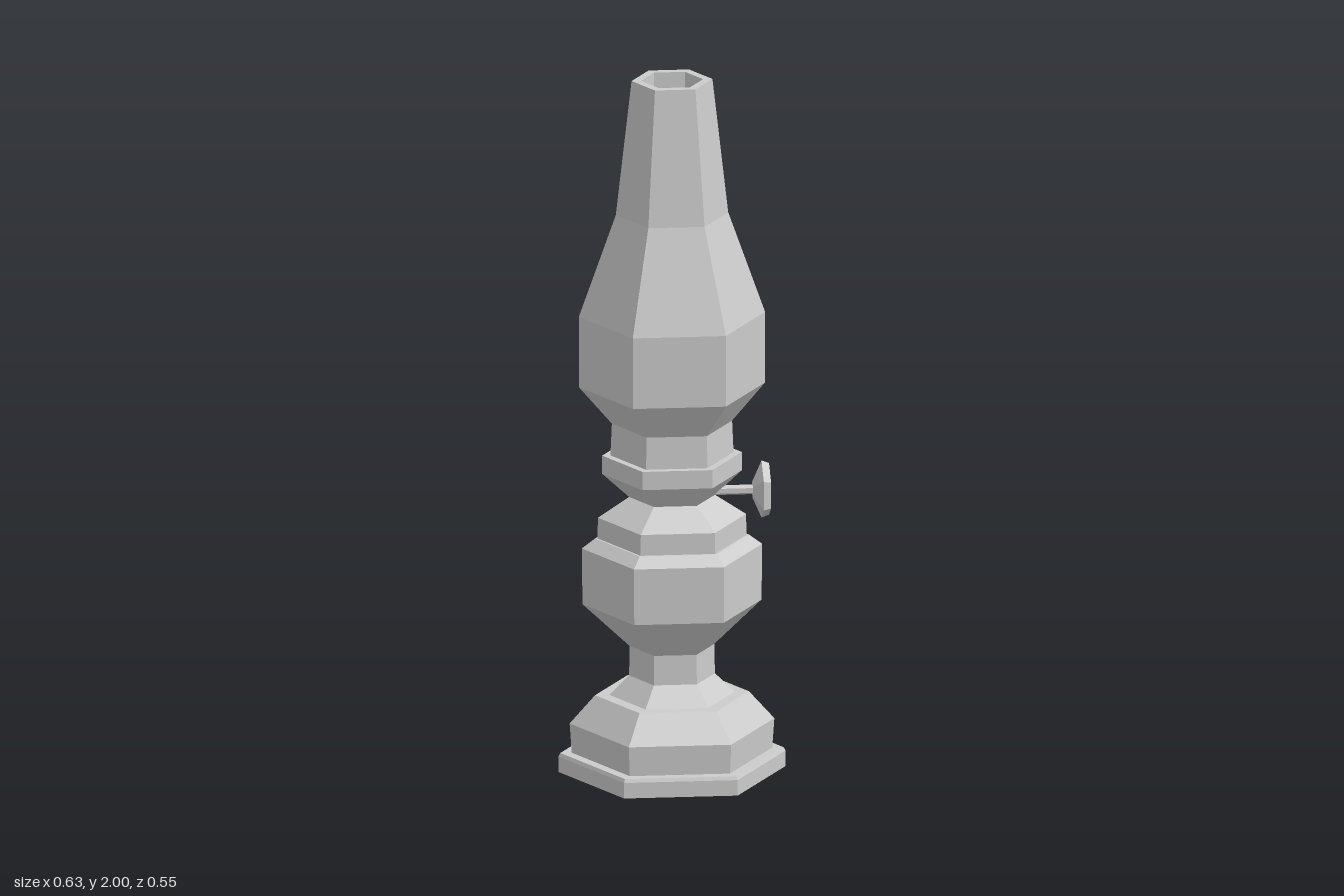
import * as THREE from 'three';

const material = new THREE.MeshStandardMaterial({ color: 0xcccccc, flatShading: true });

// Six-sided turned part from [radius, height] pairs, with corners on the x axis
function hexTurned(name, profile) {
  const points = profile.map(([r, y]) => new THREE.Vector2(r, y));
  const mesh = new THREE.Mesh(new THREE.LatheGeometry(points, 6, Math.PI / 2), material);
  mesh.name = name;
  return mesh;
}

export function createModel() {
  const lamp = new THREE.Group();
  lamp.name = 'oilLamp';

  // Stepped foot rising to a narrow neck
  lamp.add(hexTurned('base', [
    [0, 0], [0.317, 0], [0.317, 0.045], [0.312, 0.055], [0.28, 0.055],
    [0.286, 0.14], [0.215, 0.22], [0.175, 0.22], [0.12, 0.275], [0.118, 0.36],
  ]));

  // Fuel reservoir
  lamp.add(hexTurned('reservoir', [
    [0.118, 0.36], [0.25, 0.485], [0.252, 0.647], [0.215, 0.675], [0.208, 0.675],
  ]));

  // Burner collar with a pinched waist
  lamp.add(hexTurned('burner', [
    [0.208, 0.675], [0.207, 0.735], [0.12, 0.793], [0.195, 0.862],
    [0.195, 0.915], [0.172, 0.915],
  ]));

  // Chimney with a shallow recess in its top
  lamp.add(hexTurned('chimney', [
    [0.172, 0.915], [0.168, 1.007], [0.26, 1.115], [0.26, 1.32], [0.157, 1.612],
    [0.113, 2], [0.087, 2], [0.086, 1.95], [0, 1.95],
  ]));

  // Wick adjuster: thin stem and flared knob, turned to point along +x
  const wickAdjuster = new THREE.Group();
  wickAdjuster.name = 'wickAdjuster';
  wickAdjuster.add(
    hexTurned('stem', [[0, 0.1], [0.014, 0.1], [0.014, 0.23]]),
    hexTurned('knob', [[0, 0.225], [0.025, 0.225], [0.083, 0.25], [0.075, 0.271], [0, 0.271]]),
  );
  wickAdjuster.rotation.z = -Math.PI / 2;
  wickAdjuster.position.y = 0.806;
  lamp.add(wickAdjuster);

  return lamp;
}
